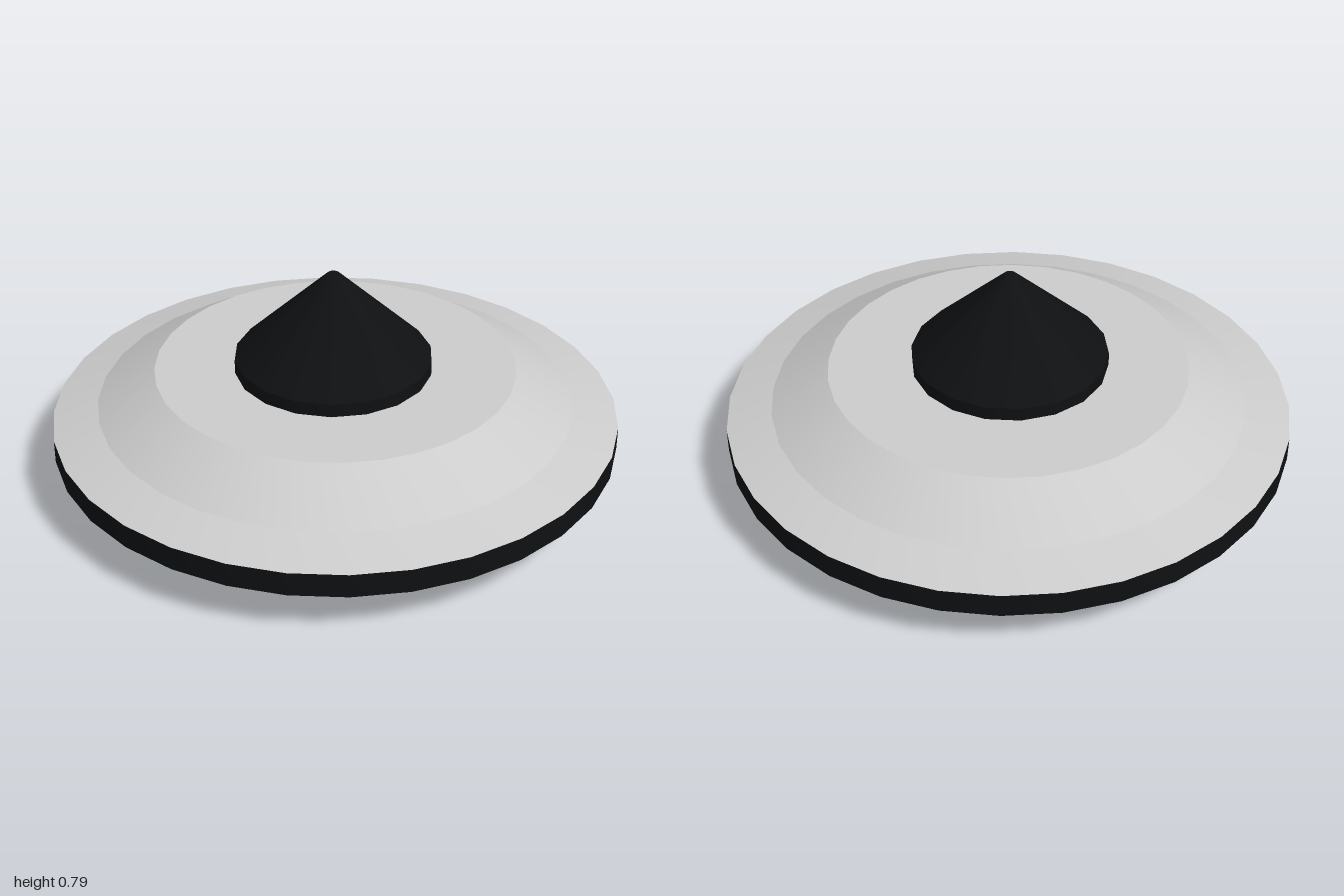
import * as THREE from 'three';
import { toCreasedNormals } from 'three/addons/utils/BufferGeometryUtils.js';

const dark = new THREE.MeshStandardMaterial({ color: 0x0e1012 });
const grey = new THREE.MeshStandardMaterial({ color: 0xcccccc });

// Turned part: profile runs bottom to top, smooth around and creased between bands
function turned(name, profile, sides, crease, material, start = 0) {
  const points = profile.map(([r, y]) => new THREE.Vector2(r, y));
  const geometry = toCreasedNormals(new THREE.LatheGeometry(points, sides, start), crease);
  const mesh = new THREE.Mesh(geometry, material);
  mesh.name = name;
  return mesh;
}

export function createModel() {
  const model = new THREE.Group();
  model.name = 'saucer';

  // Dark underside with the upright rim
  model.add(turned('lowerHull', [[0, 0], [0.635, 0], [1, 0.175], [1, 0.26]], 32, 0.24, dark));

  // Grey upper deck: shallow outer slope, steeper inner slope, flat top
  model.add(turned('upperHull', [[1, 0.26], [0.84, 0.305], [0.635, 0.432], [0, 0.432]], 32, 0.24, grey));

  // Conical cap with a short upright base and a blunt tip
  const cap = turned('cap', [[0, 0.432], [0.347, 0.432], [0.347, 0.48], [0.022, 0.793], [0, 0.793]],
    18, 0.4, dark, Math.PI / 2);
  cap.position.z = 0.013;
  model.add(cap);

  return model;
}
